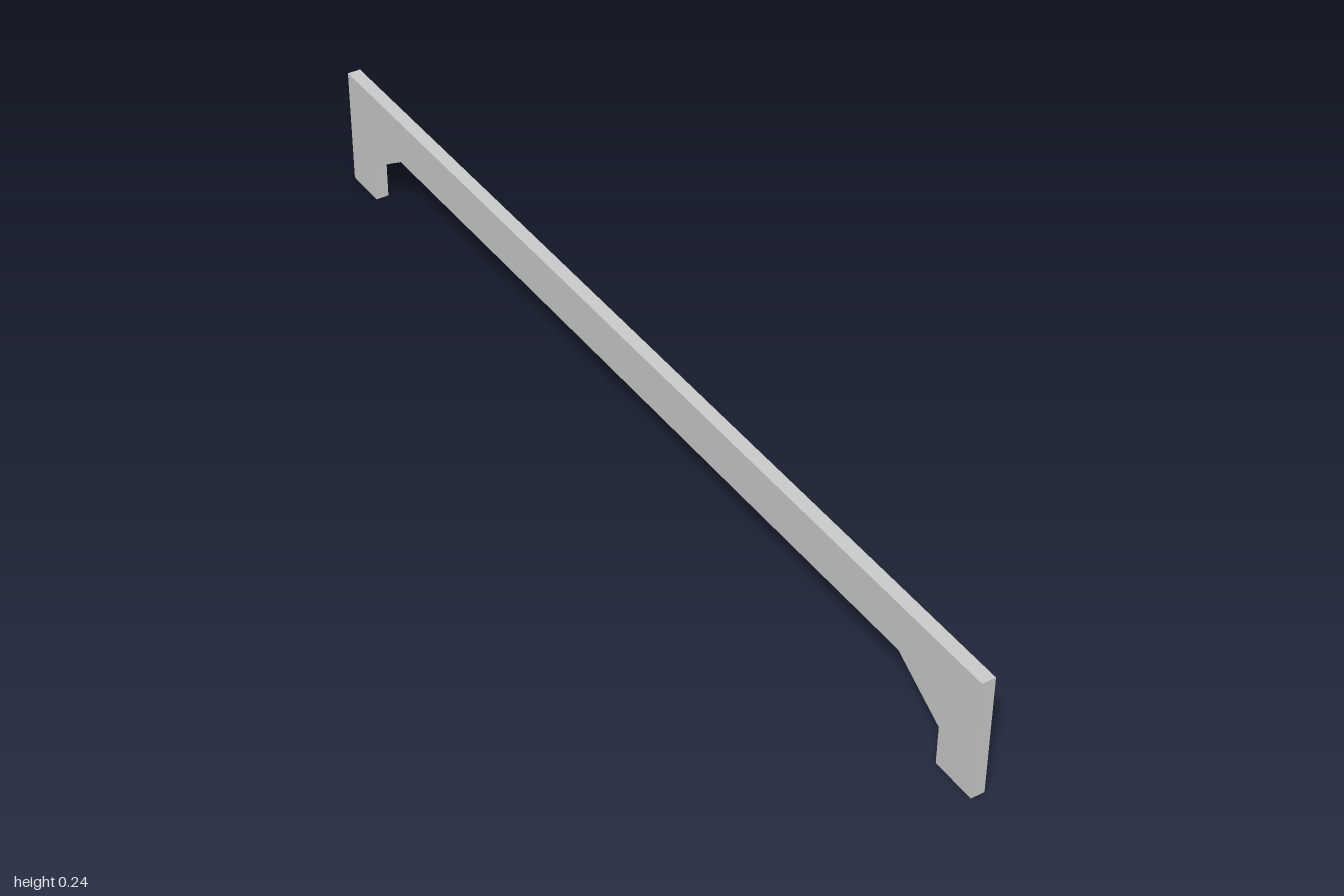
import * as THREE from 'three';

const WIDTH = 0.026, HEIGHT = 0.24, BAND = 0.01;
const UNDER = 0.15, LEG_IN = 0.91, KNEE_Y = 0.077, HAUNCH = 0.798;

export function createModel() {
  const group = new THREE.Group();
  group.name = 'archedRail';
  const material = new THREE.MeshStandardMaterial({ color: 0xcccccc, flatShading: true });

  // Extrudes a side profile of [z, y] points across the thickness
  function addPart(name, points) {
    const shape = new THREE.Shape(points.map(([z, y]) => new THREE.Vector2(z, y)));
    const geometry = new THREE.ExtrudeGeometry(shape, { depth: WIDTH, bevelEnabled: false });
    geometry.translate(0, 0, -WIDTH / 2).rotateY(-Math.PI / 2);
    const mesh = new THREE.Mesh(geometry, material);
    mesh.name = name;
    group.add(mesh);
  }

  // Half of the board: leg, braced corner and rail, set back behind the edge bands
  const half = [
    [1 - BAND, HEIGHT], [1 - BAND, 0], [LEG_IN, 0], [LEG_IN, KNEE_Y],
    [LEG_IN, KNEE_Y + BAND], [HAUNCH + BAND * 1.5, UNDER], [HAUNCH, UNDER],
  ];
  const mirrored = half.map(([z, y]) => [-z, y]).reverse();
  const core = (h) => h.filter(([z, y]) =>
    !(y === KNEE_Y) && !(y === UNDER && Math.abs(z) === HAUNCH));
  addPart('board', [...core(half), ...core(mirrored)]);

  for (const s of [1, -1]) {
    const side = s > 0 ? 'front' : 'back';
    // Thin band covering each end
    addPart(side + 'EndBand', [
      [s, 0], [s, HEIGHT], [s * (1 - BAND), HEIGHT], [s * (1 - BAND), 0],
    ]);
    // Thin band along the sloping corner brace
    addPart(side + 'BraceBand', [
      [s * LEG_IN, KNEE_Y], [s * LEG_IN, KNEE_Y + BAND],
      [s * (HAUNCH + BAND * 1.5), UNDER], [s * HAUNCH, UNDER],
    ]);
  }
  return group;
}
